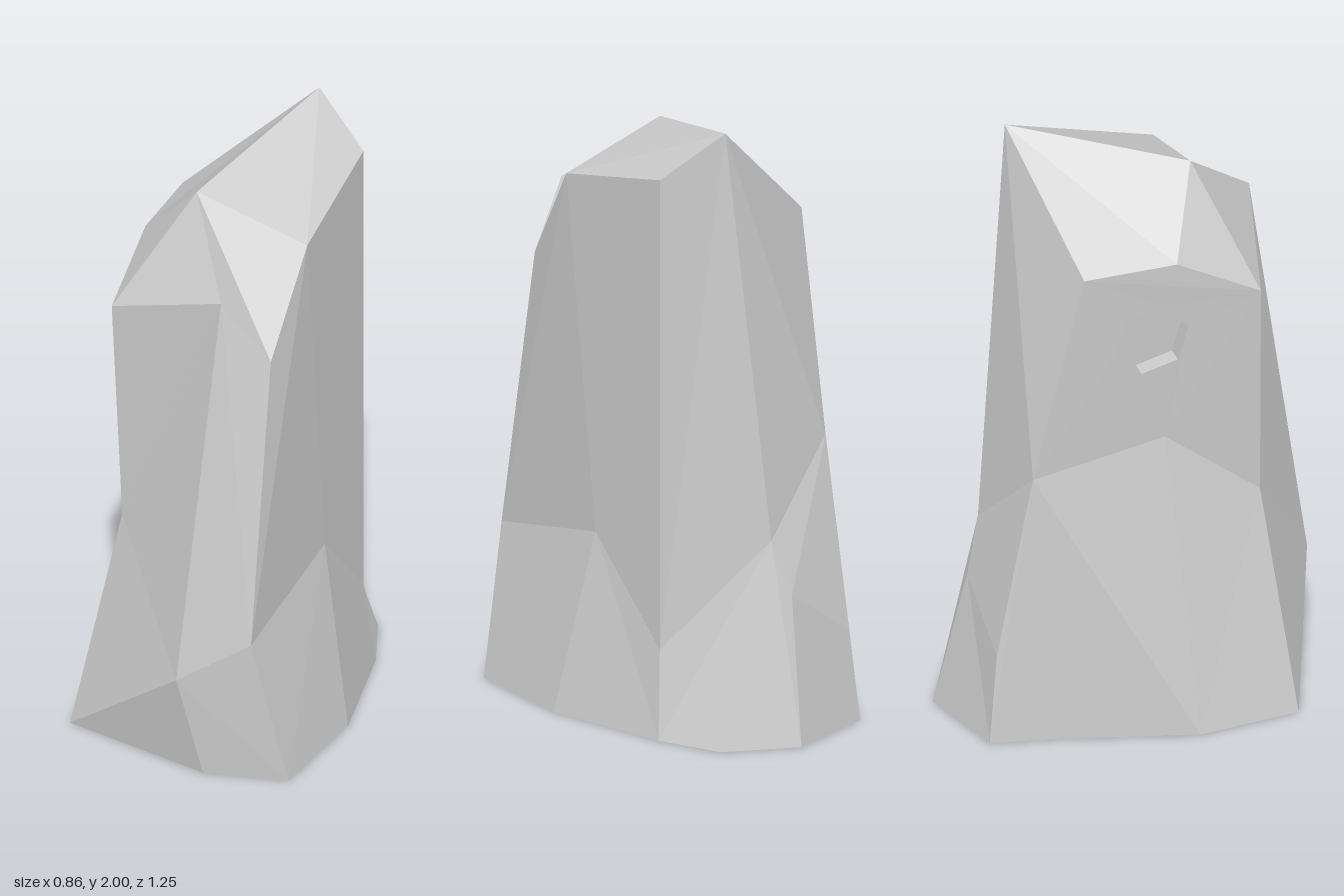
import * as THREE from 'three';

// Corners of the standing stone
const P = {
  // slanted top
  peak: [0.13, 2, -0.355], apex: [-0.06, 1.87, 0.2], topR: [0.32, 1.86, -0.26], topFR: [0.32, 1.76, 0.205],
  brow: [0.13, 1.64, 0.46], browL: [0.28, 1.435, 0.41], cheek: [-0.285, 1.49, 0.36],
  sideF: [-0.285, 1.635, 0.08], sideB: [-0.285, 1.63, -0.23],
  // waist, where the foot flares out
  wV: [-0.245, 0.75, 0.37], wFront: [0.045, 0.34, 0.625], wCorner: [0.28, 0.49, 0.575],
  wM: [0.32, 0.6, 0.06], wN: [0.32, 0.29, -0.26], wQ: [0.04, 0.65, -0.475], wR: [-0.003, 0.47, -0.525],
  wS: [-0.252, 0.92, -0.39], wU: [-0.25, 0.3, -0.51], wW: [-0.255, 1.0, 0.05],
  // footprint
  f0: [0.12, 0, 0.585], f1: [0.39, 0, 0.53], f2: [0.43, 0, 0.135], f3: [0.35, 0, -0.29], f4: [0.27, 0, -0.5],
  f5: [0.04, 0, -0.625], f6: [-0.27, 0, -0.54], f7: [-0.31, 0, -0.33], f8: [-0.43, 0, 0.11], f9: [-0.39, 0, 0.45],
};

// Flat facets, each a fan around its first corner
const FACETS = [
  'peak apex sideF sideB', 'peak topR topFR apex', 'apex topFR browL brow', 'apex brow cheek sideF',
  'brow cheek wV wFront', 'wFront wV f9 f0', 'brow wFront wCorner browL', 'wFront f0 f1 wCorner',
  'topFR browL wCorner wM', 'topFR wM wN topR', 'wM wCorner f1 f2', 'wM f2 f3 wN',
  'peak topR wN wQ', 'wQ wN f3 f4', 'wQ f4 f5 wR', 'peak wQ wS sideB', 'wR wQ wS wU f6 f5',
  'wS wU f6 f7', 'wS wW f8 f7', 'wV wW f8 f9',
  'f0 f1 f2 f3 f4 f5 f6 f7 f8 f9',
];

const vec = (p) => new THREE.Vector3(...p);

// Adds a triangle, turned so that it faces along the given direction
function addTriangle(out, a, b, c, facing) {
  const n = vec(b).sub(vec(a)).cross(vec(c).sub(vec(a)));
  out.push(...a, ...(n.dot(facing) >= 0 ? [...b, ...c] : [...c, ...b]));
}

function makeMesh(name, positions, material) {
  const geometry = new THREE.BufferGeometry();
  geometry.setAttribute('position', new THREE.Float32BufferAttribute(positions, 3));
  geometry.computeVertexNormals();
  const mesh = new THREE.Mesh(geometry, material);
  mesh.name = name;
  return mesh;
}

export function createModel() {
  const group = new THREE.Group();
  group.name = 'standingStone';
  const material = new THREE.MeshStandardMaterial({ color: 0xcccccc, flatShading: true });

  // Stone body
  const body = [];
  const middle = new THREE.Vector3(0, 0.9, 0);
  for (const facet of FACETS) {
    const pts = facet.split(' ').map((k) => P[k]);
    for (let i = 1; i < pts.length - 1; i++) {
      const centre = vec(pts[0]).add(vec(pts[i])).add(vec(pts[i + 1])).divideScalar(3);
      addTriangle(body, pts[0], pts[i], pts[i + 1], centre.sub(middle));
    }
  }

  // Six-sided notch sunk into the upper right side
  const cy = 1.37, cz = 0, radius = 0.125, depth = 0.06;
  const rim = [], floor = [];
  for (let i = 0; i < 6; i++) {
    const a = 0.26 + (i * Math.PI) / 3;
    const y = cy + radius * Math.sin(a), z = cz + radius * Math.cos(a);
    const x = -0.285 + 0.047 * (1.6 - y);
    rim.push([x, y, z]);
    floor.push([x + depth, y, z]);
  }

  // Upper right side of the body, open around the notch
  const outward = new THREE.Vector3(-1, 0, 0);
  const side = ['sideB', 'wS', 'wW', 'wV', 'cheek', 'sideF'].map((k) => P[k]);
  const flat = (p) => new THREE.Vector2(p[2], p[1]);
  const all = [...side, ...rim];
  for (const [a, b, c] of THREE.ShapeUtils.triangulateShape(side.map(flat), [rim.map(flat)])) {
    addTriangle(body, all[a], all[b], all[c], outward);
  }
  group.add(makeMesh('stoneBody', body, material));

  // Notch walls and floor
  const notch = [];
  for (let i = 0; i < 6; i++) {
    const j = (i + 1) % 6;
    const inward = new THREE.Vector3(0, 2 * cy - rim[i][1] - rim[j][1], 2 * cz - rim[i][2] - rim[j][2]);
    addTriangle(notch, rim[i], rim[j], floor[j], inward);
    addTriangle(notch, rim[i], floor[j], floor[i], inward);
    if (i > 0 && i < 5) addTriangle(notch, floor[0], floor[i], floor[j], outward);
  }
  group.add(makeMesh('sideNotch', notch, material));

  return group;
}
